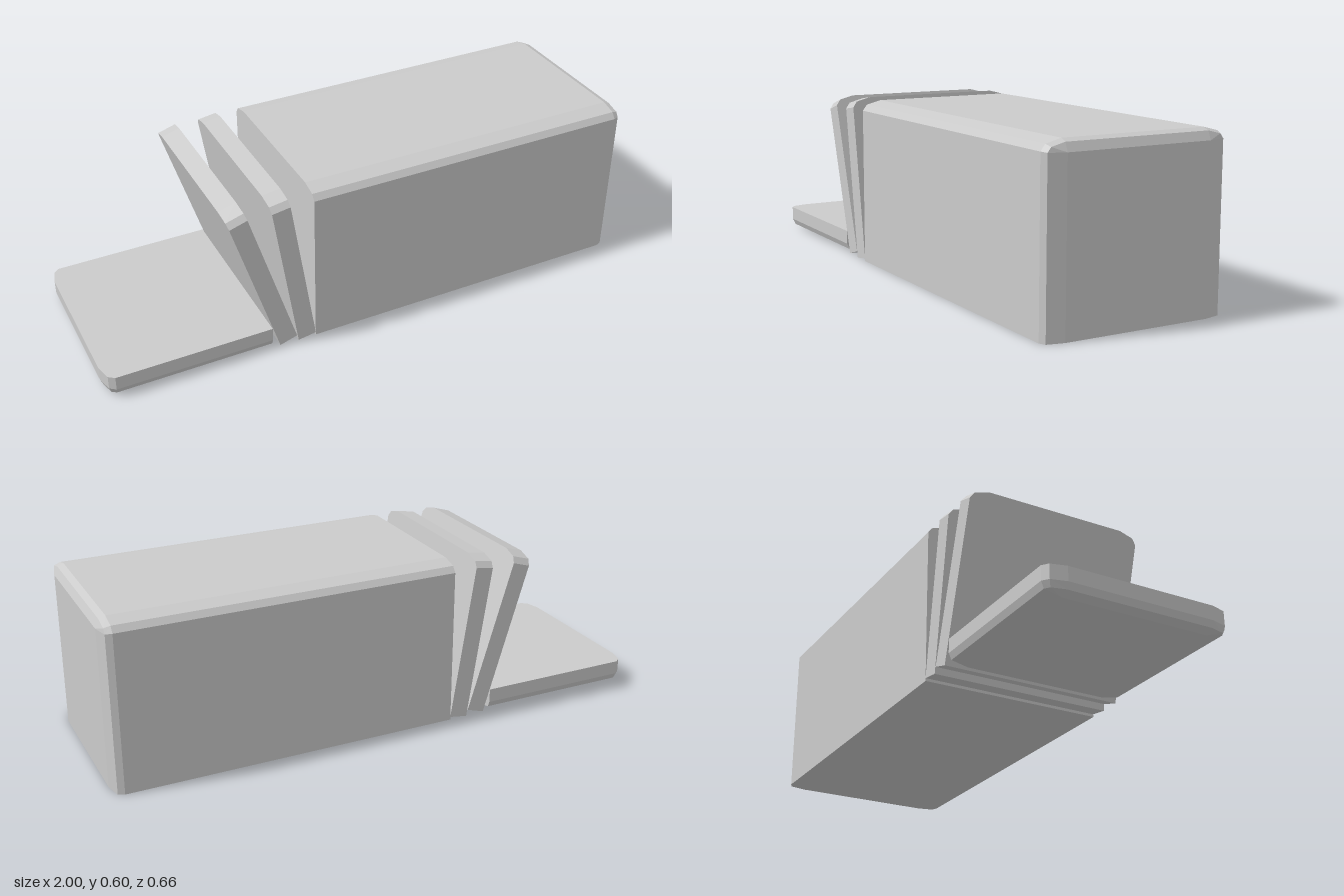
import * as THREE from 'three';

// Half cross-sections as [z, y], from the bottom edge up to the crown
const CRUST = [[0.33, 0], [0.33, 0.563], [0.314, 0.584], [0.26, 0.598]];
const BEVEL = [[0.32, 0], [0.32, 0.561], [0.308, 0.577], [0.26, 0.589]];
const END = [[0.26, 0], [0.26, 0.56], [0.26, 0.56], [0.26, 0.56]];

// Joins mirrored cross-sections along x and caps both ends
function loft(sections) {
  const rings = sections.map(([x, half]) => [
    ...half.map(([z, y]) => new THREE.Vector3(x, y, z)),
    ...half.slice().reverse().map(([z, y]) => new THREE.Vector3(x, y, -z)),
  ]);
  const pos = [];
  const tri = (a, b, c) => {
    if (new THREE.Triangle(a, b, c).getArea() < 1e-9) return;
    for (const p of [a, b, c]) pos.push(p.x, p.y, p.z);
  };
  const n = rings[0].length;
  for (let i = 0; i < rings.length - 1; i++) {
    const r = rings[i], s = rings[i + 1];
    for (let j = 0; j < n; j++) {
      const k = (j + 1) % n;
      tri(r[j], s[j], s[k]);
      tri(r[j], s[k], r[k]);
    }
  }
  const first = rings[0], last = rings[rings.length - 1];
  for (let j = 1; j < n - 1; j++) {
    tri(first[0], first[j], first[j + 1]);
    tri(last[0], last[j + 1], last[j]);
  }
  const geo = new THREE.BufferGeometry();
  geo.setAttribute('position', new THREE.Float32BufferAttribute(pos, 3));
  geo.computeVertexNormals();
  return geo;
}

// Piece of loaf with a flat cut at x = 0 and a softened crust end
const crustEnd = (length) => loft([
  [0, CRUST], [length - 0.035, CRUST], [length - 0.013, BEVEL], [length, END],
]);

export function createModel() {
  const group = new THREE.Group();
  const material = new THREE.MeshStandardMaterial({ color: 0xcccccc, flatShading: true });
  const add = (name, geo, x, y, lean = 0) => {
    const mesh = new THREE.Mesh(geo, material);
    mesh.name = name;
    mesh.position.set(x, y, 0);
    mesh.rotation.z = lean;
    group.add(mesh);
  };

  // Uncut part of the loaf
  add('loaf', crustEnd(1.24), -0.242, 0);

  // Two slices leaning away from the cut
  const slice = loft([[0, CRUST], [0.067, CRUST]]);
  add('innerSlice', slice, -0.308, 0, 0.152);
  add('outerSlice', slice, -0.378, 0.003, 0.298);

  // Heel lying flat, cut face up
  add('heel', crustEnd(0.085).rotateY(Math.PI).rotateZ(Math.PI / 2), -0.405, 0.085);

  return group;
}
